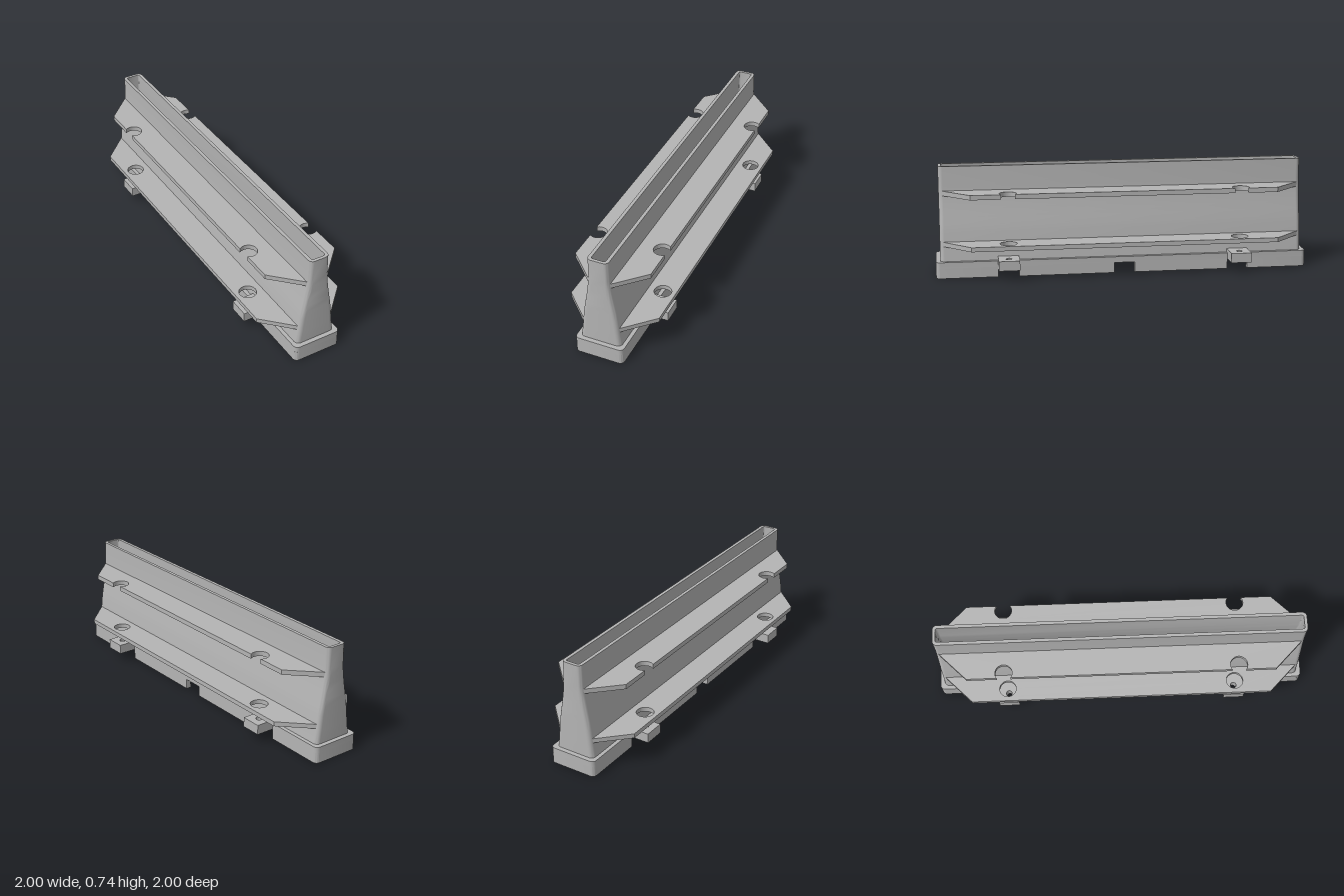
import * as THREE from 'three';
import { toCreasedNormals } from 'three/addons/utils/BufferGeometryUtils.js';

const BASE = { U: 1.265, V: 0.165, r: 0.03 };
const HOLE_U = 0.783, HOLE_V = 0.222, TAB = 0.07;

// Rounded rectangle outline, half sizes U and V
function roundedRect(U, V, r, steps = 6) {
  const pts = [];
  [[1, 1], [-1, 1], [-1, -1], [1, -1]].forEach(([sx, sy], q) => {
    for (let i = 0; i <= steps; i++) {
      const a = (q + i / steps) * Math.PI / 2;
      pts.push(new THREE.Vector2(sx * (U - r) + r * Math.cos(a), sy * (V - r) + r * Math.sin(a)));
    }
  });
  return pts;
}

// Horizontal plate between two heights from a plan outline
function plate(shape, y0, y1) {
  const g = new THREE.ExtrudeGeometry(shape, { depth: y1 - y0, bevelEnabled: false, curveSegments: 24 });
  g.rotateX(Math.PI / 2).translate(0, y1, 0);
  return toCreasedNormals(g, 0.6);
}

// Hollow shell: outer sections upward, over the rim, inner sections downward
function shell() {
  const profile = [[0.105, 0.14], [0.2, 0.128], [0.3, 0.117], [0.35, 0.109], [0.4, 0.1],
    [0.45, 0.091], [0.5, 0.083], [0.55, 0.076], [0.6, 0.072], [0.74, 0.07]];
  const rows = profile.map(([y, v]) => [y, roundedRect(1.235, v, 0.03)]);
  [...profile].reverse().forEach(([y, v]) => rows.push([y, roundedRect(1.215, v - 0.022, 0.012)]));
  const n = rows[0][1].length, pos = [], idx = [];
  rows.forEach(([y, pts]) => pts.forEach(p => pos.push(p.x, y, p.y)));
  for (let j = 0; j < rows.length - 1; j++) {
    for (let i = 0; i < n; i++) {
      const a = j * n + i, c = j * n + (i + 1) % n;
      idx.push(a, a + n, c, c, a + n, c + n);
    }
  }
  const g = new THREE.BufferGeometry();
  g.setAttribute('position', new THREE.Float32BufferAttribute(pos, 3));
  g.setIndex(idx);
  return toCreasedNormals(g, 0.6);
}

function circlePath(x, y, r) {
  const p = new THREE.Path();
  p.absarc(x, y, r, 0, Math.PI * 2, true);
  return p;
}

// Plan of a shelf with 45 degree chamfered ends
function shelfShape(inner, outer, reach, notched) {
  const r = 0.057, s = new THREE.Shape();
  s.moveTo(-(reach - inner), inner);
  s.lineTo(reach - inner, inner);
  s.lineTo(reach - outer, outer);
  for (const x of [HOLE_U, -HOLE_U]) {
    if (notched) {
      const a = Math.asin((outer - HOLE_V) / r);
      s.lineTo(x + r * Math.cos(a), outer);
      s.absarc(x, HOLE_V, r, a, Math.PI - a, true);
    } else s.holes.push(circlePath(x, HOLE_V, r));
  }
  s.lineTo(-(reach - outer), outer);
  s.closePath();
  return s;
}

// C-shaped wall around one end of the base
function endShape() {
  const { U, V, r } = BASE, x0 = HOLE_U + TAB, Ui = U - 0.035, Vi = V - 0.035;
  const s = new THREE.Shape();
  s.moveTo(x0, -V);
  s.lineTo(U - r, -V);
  s.absarc(U - r, -V + r, r, -Math.PI / 2, 0, false);
  s.lineTo(U, V - r);
  s.absarc(U - r, V - r, r, 0, Math.PI / 2, false);
  [[x0, V], [x0, Vi], [Ui, Vi], [Ui, -Vi], [x0, -Vi]].forEach(p => s.lineTo(...p));
  s.closePath();
  return s;
}

// Mounting tab with a bolt hole
function tabShape(x) {
  const s = new THREE.Shape([[-TAB, 0.13], [TAB, 0.13], [TAB, 0.289], [-TAB, 0.289]]
    .map(([u, v]) => new THREE.Vector2(x + u, v)));
  s.holes.push(circlePath(x, HOLE_V, 0.02));
  return s;
}

export function createModel() {
  const gray = new THREE.MeshStandardMaterial({ color: 0xb4b4b4 });
  gray.name = 'plain gray';
  const model = new THREE.Group();
  model.name = 'hollowBarrier';
  const body = new THREE.Group();
  body.name = 'barrier';
  body.rotation.y = -Math.PI / 4; // lies along the diagonal
  model.add(body);

  const add = (parent, name, geometry) => {
    const m = new THREE.Mesh(geometry, gray);
    m.name = name;
    parent.add(m);
  };

  add(body, 'hollowWall', shell());

  // Upper band of the base, open in the middle
  const ring = new THREE.Shape(roundedRect(BASE.U, BASE.V, BASE.r));
  ring.holes.push(new THREE.Path(roundedRect(1.215, 0.118, 0.012).reverse()));
  add(body, 'baseBand', plate(ring, 0.07, 0.11));

  // Both long sides are the same, turned half way round
  for (let k = 0; k < 2; k++) {
    const side = new THREE.Group();
    side.name = k ? 'backSide' : 'frontSide';
    side.rotation.y = k * Math.PI;
    body.add(side);

    add(side, 'lowerShelf', plate(shelfShape(0.115, 0.308, 1.336, false), 0.21, 0.24));
    add(side, 'upperShelf', plate(shelfShape(0.065, 0.257, 1.287, true), 0.545, 0.577));
    add(side, 'baseEnd', plate(endShape(), 0, 0.07));

    for (const s of [-1, 1]) {
      add(side, 'mountingTab', plate(tabShape(s * HOLE_U), 0.07, 0.135));
      // Base wall between the centre notch and the tab notch
      const len = HOLE_U - 2 * TAB;
      const wall = new THREE.BoxGeometry(len, 0.07, 0.035);
      wall.translate(s * (TAB + len / 2), 0.035, BASE.V - 0.0175);
      add(side, 'baseWall', wall);
    }
  }
  return model;
}
